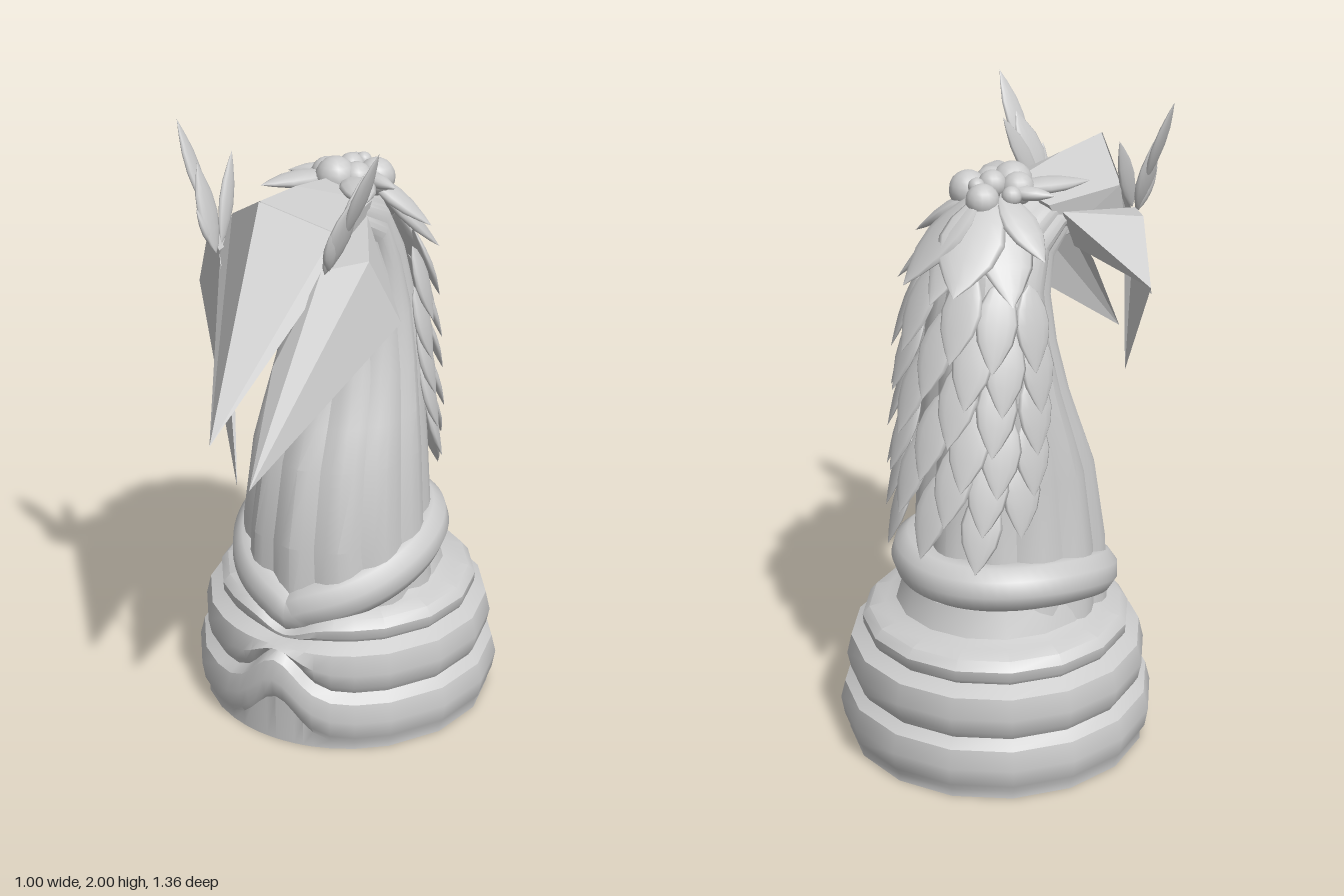
import * as THREE from 'three';
import { toCreasedNormals } from 'three/addons/utils/BufferGeometryUtils.js';
import { ConvexGeometry } from 'three/addons/geometries/ConvexGeometry.js';

const smooth = new THREE.MeshStandardMaterial({ color: 0xcccccc });
const faceted = new THREE.MeshStandardMaterial({ color: 0xcccccc, flatShading: true, side: THREE.DoubleSide });
const V = (x, y, z) => new THREE.Vector3(x, y, z);

function add(parent, name, geometry, material = smooth) {
  const mesh = new THREE.Mesh(geometry, material);
  mesh.name = name;
  parent.add(mesh);
  return mesh;
}

// Skin closed rings of points, bottom to top, with both ends capped
function loft(rings, crease) {
  const n = rings[0].length, pos = [], index = [];
  rings.forEach(ring => ring.forEach(p => pos.push(p.x, p.y, p.z)));
  for (let i = 0; i < rings.length - 1; i++) {
    for (let j = 0; j < n; j++) {
      const a = i * n + j, b = i * n + (j + 1) % n;
      index.push(a, b, b + n, a, b + n, a + n);
    }
  }
  [0, rings.length - 1].forEach(i => {
    const c = rings[i].reduce((s, p) => s.add(p), V(0, 0, 0)).divideScalar(n);
    const k = pos.length / 3;
    pos.push(c.x, c.y, c.z);
    for (let j = 0; j < n; j++) {
      const a = i * n + j, b = i * n + (j + 1) % n;
      if (i === 0) index.push(k, b, a); else index.push(k, a, b);
    }
  });
  const g = new THREE.BufferGeometry();
  g.setAttribute('position', new THREE.Float32BufferAttribute(pos, 3));
  g.setIndex(index);
  return toCreasedNormals(g, crease);
}

// Open folded shell made of flat triangles
function shell(...triangles) {
  const g = new THREE.BufferGeometry().setFromPoints(triangles.flat());
  g.computeVertexNormals();
  return g;
}

// Flattened pointed leaf running from base to tip, its flat side facing normal
const leafProfile = [[0, 0], [0.24, 0.1], [0.42, 0.27], [0.5, 0.45], [0.42, 0.66], [0.2, 0.86], [0, 1]];
const leafGeometry = new THREE.LatheGeometry(leafProfile.map(p => new THREE.Vector2(...p)), 12);
function leaf(parent, name, base, tip, normal, width, thick) {
  const mesh = add(parent, name, leafGeometry);
  const y = tip.clone().sub(base), length = y.length();
  y.normalize();
  const x = y.clone().cross(normal).normalize();
  const z = x.clone().cross(y);
  mesh.quaternion.setFromRotationMatrix(new THREE.Matrix4().makeBasis(x, y, z));
  mesh.position.copy(base);
  mesh.scale.set(width, length, thick);
}

function createBase() {
  // Extra steps at the front for the arched notch
  const half = [0.07, 0.14, 0.2, 0.27, 0.39, 0.55];
  for (let i = 2; i < 8; i++) half.push(i * Math.PI / 8);
  const angles = [0, ...half, Math.PI, ...half.map(a => -a).reverse()];
  // radius, height, height at the front centre
  const profile = [
    [0.475, 0, 0], [0.475, 0.025, 0.16], [0.49, 0.05, 0.18], [0.5, 0.11, 0.235], [0.485, 0.17, 0.3],
    [0.45, 0.195, 0.325], [0.465, 0.22, 0.33], [0.475, 0.27, 0.335], [0.46, 0.335, 0.34],
    [0.41, 0.36, 0.345], [0.42, 0.375, 0.35], [0.422, 0.405, 0.36], [0.4, 0.432, 0.37],
    [0.35, 0.445, 0.4], [0.315, 0.46, 0.44], [0.285, 0.54, 0.54]];
  return loft(profile.map(([r, y, yf]) => angles.map(a => {
    const f = Math.exp(-((a / 0.22) ** 2));
    return V(r * Math.sin(a), y + (yf - y) * f, -0.18 + r * Math.cos(a));
  })), 0.65);
}

function createCollar() {
  // Tilted ring dipping to a V at the front
  const pts = [];
  for (let i = 0; i < 40; i++) {
    const a = i / 40 * Math.PI * 2, c = Math.cos(a);
    const d = Math.min(a, Math.PI * 2 - a);
    const y = 0.578 - 0.07 * c - 0.043 * c * c - 0.045 * Math.exp(-d / 0.22);
    pts.push(V(0.27 * Math.sin(a), y, -0.13 + 0.295 * c));
  }
  return new THREE.TubeGeometry(new THREE.CatmullRomCurve3(pts, true), 64, 0.078, 10, true);
}

function createNeck() {
  // front z, front y, back z, back y, half width
  const sections = [
    [0.2, 0.42, -0.48, 0.42, 0.32], [0.2, 0.65, -0.42, 0.65, 0.295], [0.145, 0.9, -0.4, 0.92, 0.275],
    [0.09, 1.02, -0.39, 1.06, 0.255], [0.035, 1.15, -0.39, 1.22, 0.23], [-0.005, 1.3, -0.38, 1.4, 0.2],
    [-0.015, 1.43, -0.34, 1.57, 0.17], [0, 1.53, -0.25, 1.7, 0.155], [0.05, 1.58, -0.1, 1.76, 0.145],
    [0.14, 1.57, 0.08, 1.76, 0.13]];
  return loft(sections.map(([fz, fy, bz, by, w]) => {
    const ring = [];
    // Twelve shallow flutes
    for (let j = 0; j < 48; j++) {
      const a = j / 48 * Math.PI * 2, s = 0.95 + 0.06 * Math.abs(Math.cos(6 * a));
      const c = Math.cos(a) * s / 2;
      ring.push(V(w * s * Math.sin(a), (fy + by) / 2 + c * (fy - by), (fz + bz) / 2 + c * (fz - bz)));
    }
    return ring;
  }), 0.42);
}

function createHead() {
  const head = new THREE.Group();
  head.name = 'head';
  const both = (x, y, z) => [V(x, y, z), V(-x, y, z)];
  add(head, 'skull', new ConvexGeometry([
    V(0, 1.835, 0.35), V(0, 1.82, 0.15), V(0, 1.78, -0.1), ...both(0.13, 1.73, -0.08),
    ...both(0.17, 1.73, 0.22), ...both(0.16, 1.64, 0.25), ...both(0.13, 1.62, 0), ...both(0.1, 1.6, 0.1)]), faceted);
  const crest = V(0, 1.835, 0.355), beakTip = V(0.02, 1.21, 0.675);
  for (const [side, name, tip] of [[1, 'left', V(0.13, 1.085, 0.645)], [-1, 'right', V(0, 1, 0.5)]]) {
    // Half of the folded beak
    const brow = V(side * 0.17, 1.73, 0.225), lip = V(side * 0.18, 1.62, 0.28);
    add(head, name + 'Beak', shell([crest, beakTip, brow], [brow, beakTip, lip]), faceted);
    // Hollow cheek blade, one side longer than the other
    const top = V(side * 0.17, 1.64, 0.3), outer = V(side * 0.27, 1.655, 0.2), jaw = V(side * 0.345, 1.46, 0.14);
    const inner = V(side * 0.09, 1.38, side > 0 ? 0.44 : 0.36);
    const back = V(side * 0.14, 1.7, -0.03), under = V(side * 0.14, 1.58, 0.03);
    add(head, name + 'Cheek', shell(
      [top, tip, outer], [outer, tip, jaw], [top, inner, tip],
      [outer, jaw, back], [back, jaw, under], [top, outer, back]), faceted);
    // Leaf-shaped ears
    const n = V(side, -0.4, 0.15);
    leaf(head, 'ear', V(side * 0.18, 1.63, 0.3), V(side * 0.265, 1.88, 0.26), n, 0.11, 0.03);
    leaf(head, 'earTip', V(side * 0.225, 1.74, 0.27), V(side * 0.33, 2, 0.26), n, 0.075, 0.025);
    leaf(head, 'earBackLeaf', V(side * 0.18, 1.65, 0.27), V(side * 0.22, 1.89, 0.14), n, 0.07, 0.025);
    leaf(head, 'earFrontLeaf', V(side * 0.19, 1.64, 0.29), V(side * 0.22, 1.77, 0.34), n, 0.05, 0.025);
  }
  return head;
}

function createMane() {
  const mane = new THREE.Group();
  mane.name = 'mane';
  // Point on a squarish half ring round the back of the neck; angle 0 is straight back
  const at = (y, a, out) => {
    const t = Math.sqrt(THREE.MathUtils.clamp((1.65 - y) / 0.75, 0, 1));
    const rx = 0.16 + 0.06 * t + out * 0.4;
    const rz = 0.15 + 0.09 * t + out;
    return V(rx * Math.sign(a) * Math.abs(Math.sin(a)) ** 0.75, y, -0.18 - rz * Math.cos(a) ** 0.75);
  };
  // Overlapping rows, narrowing to a point at the bottom: leaf count, half spread
  [[6, 1.35], [7, 1.4], [6, 1.35], [7, 1.3], [6, 1.15], [3, 0.6]].forEach(([count, spread], row) => {
    for (let i = 0; i < count; i++) {
      const a = -spread + 2 * spread * i / (count - 1);
      const y = 1.57 - 0.127 * row + 0.03 * Math.cos(2 * a);
      const base = at(y, a, 0.01), tip = at(y - 0.25, a, 0.115);
      leaf(mane, 'maneLeaf', base, tip, V(Math.sin(a), 0.25, -Math.cos(a)), 0.125, 0.03);
    }
  });
  // Large petals spreading from the crown: tip and width
  const petals = [
    [-0.09, 1.54, -0.47, 0.2], [0.1, 1.54, -0.47, 0.2], [-0.22, 1.51, -0.36, 0.18], [0.22, 1.51, -0.36, 0.18],
    [0, 1.5, -0.47, 0.16], [-0.24, 1.62, -0.24, 0.12], [0.25, 1.62, -0.24, 0.12],
    [-0.17, 1.77, -0.1, 0.06], [0.2, 1.77, -0.1, 0.06], [-0.16, 1.775, 0.08, 0.11], [0.19, 1.775, 0.08, 0.11]];
  for (const [x, y, z, w] of petals) {
    const up = y > 1.7 ? V(0, 1, 0) : V(x * 2, 0.5, z + 0.1);
    leaf(mane, 'crownPetal', V(x * 0.15, 1.775, -0.18 + (z + 0.18) * 0.15), V(x, y, z), up, w, 0.045);
  }
  // Berry cluster
  const berries = [
    [-0.01, 1.76, -0.24, 0.05], [0.085, 1.765, -0.19, 0.058], [0, 1.78, -0.09, 0.062], [-0.07, 1.77, -0.18, 0.03],
    [0.01, 1.79, -0.17, 0.042], [0.02, 1.795, -0.23, 0.025], [-0.045, 1.775, -0.12, 0.05], [0.055, 1.775, -0.12, 0.05]];
  for (const [x, y, z, r] of berries) {
    add(mane, 'berry', new THREE.SphereGeometry(r, 14, 10)).position.set(x, y, z);
  }
  return mane;
}

export function createModel() {
  const model = new THREE.Group();
  model.name = 'chessKnight';
  add(model, 'base', createBase());
  add(model, 'collar', createCollar());
  add(model, 'neck', createNeck());
  model.add(createHead(), createMane());
  return model;
}
